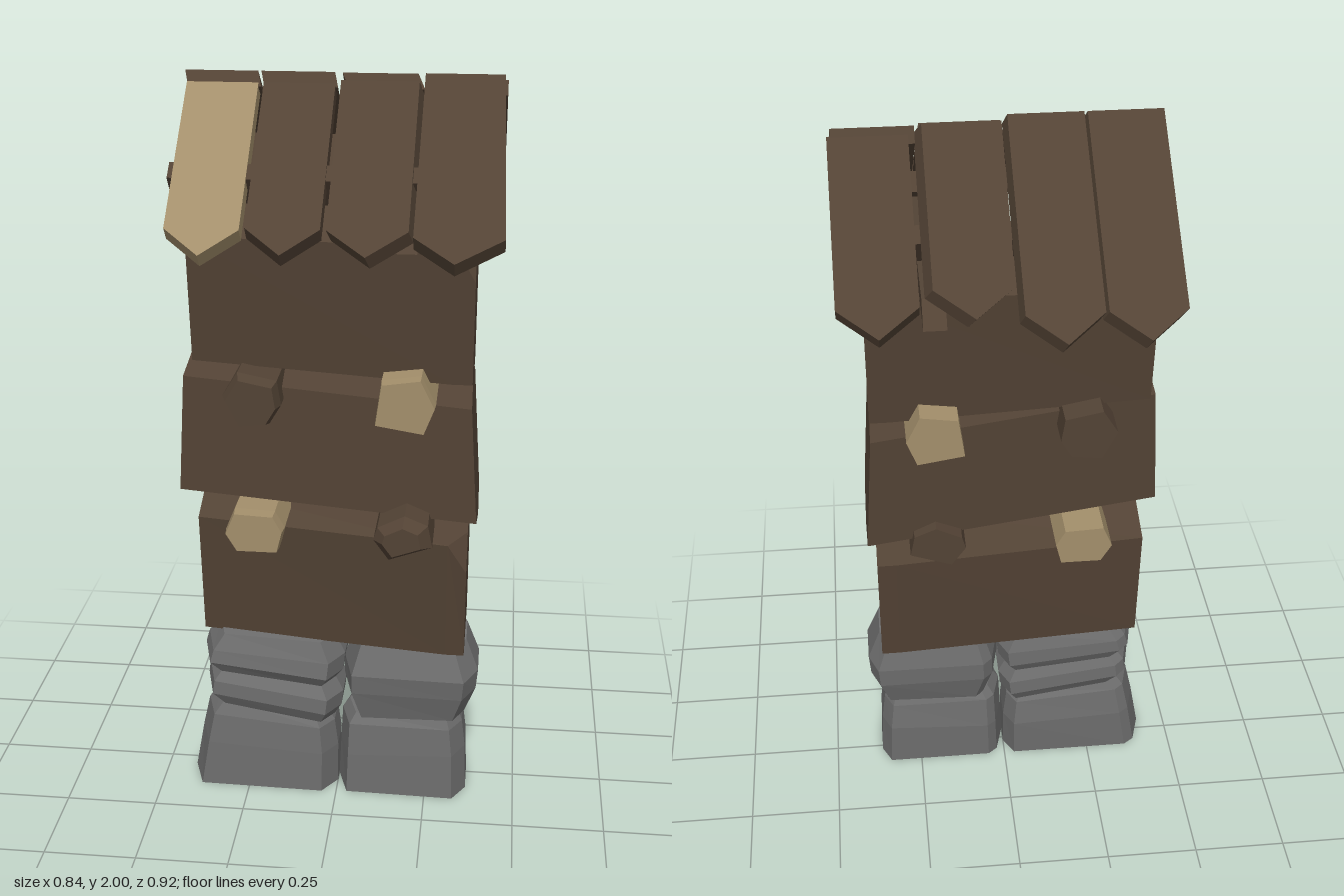
import * as THREE from 'three';

const wood = new THREE.MeshStandardMaterial({ name: 'dark wood', color: 0x534335 });
const paleWood = new THREE.MeshStandardMaterial({ name: 'pale wood', color: 0xa38f6b });
const stoneGrey = new THREE.MeshStandardMaterial({ name: 'stone grey', color: 0x6f6f6f, side: THREE.DoubleSide });

// Faceted solid through rings of [x, y, z] points; the first end may stay open
function loft(name, rings, material, openStart = false) {
  const tris = [];
  const n = rings[0].length;
  for (let r = 0; r < rings.length - 1; r++) {
    for (let i = 0; i < n; i++) {
      const j = (i + 1) % n;
      const [a, b, c, d] = [rings[r][i], rings[r][j], rings[r + 1][j], rings[r + 1][i]];
      tris.push([a, b, c], [a, c, d]);
    }
  }
  const first = rings[0], last = rings[rings.length - 1];
  for (let i = 1; i < n - 1; i++) {
    if (!openStart) tris.push([first[0], first[i + 1], first[i]]);
    tris.push([last[0], last[i], last[i + 1]]);
  }
  // Turn all faces outward whichever way the rings run
  let volume = 0;
  for (const [a, b, c] of tris) {
    volume += a[0] * (b[1] * c[2] - b[2] * c[1]) + a[1] * (b[2] * c[0] - b[0] * c[2]) + a[2] * (b[0] * c[1] - b[1] * c[0]);
  }
  const ordered = volume < 0 ? tris.map(([a, b, c]) => [a, c, b]) : tris;
  const geometry = new THREE.BufferGeometry();
  geometry.setAttribute('position', new THREE.Float32BufferAttribute(ordered.flat(2), 3));
  geometry.computeVertexNormals();
  const mesh = new THREE.Mesh(geometry, material);
  mesh.name = name;
  return mesh;
}

// Stone: stacked eight-sided rings; level = [yLeft, yRight, x0, x1, z0, z1]
function stone(name, levels, openBase = false) {
  const plan = [[0, 0.5], [0.06, 0.1], [0.13, 0], [0.93, 0], [1, 0.25], [1, 0.7], [0.9, 1], [0.08, 0.97]];
  const rings = levels.map(([yl, yr, x0, x1, z0, z1]) =>
    plan.map(([u, v]) => [x0 + (x1 - x0) * u, yl + (yr - yl) * u, z0 + (z1 - z0) * v]));
  return loft(name, rings, stoneGrey, openBase);
}

// Beam: [z, y] sections run along x; section = [x, points]
function beam(name, sections) {
  return loft(name, sections.map(([x, points]) => points.map(([z, y]) => [x, y, z])), wood);
}

// Peg: uneven [x, y] polygon run along z, narrowed at the ends by the nose factor
function peg(name, corners, back, front, nose, material) {
  const cx = corners.reduce((s, p) => s + p[0], 0) / corners.length;
  const cy = corners.reduce((s, p) => s + p[1], 0) / corners.length;
  const ring = (z, s) => corners.map(([x, y]) => [cx + (x - cx) * s, cy + (y - cy) * s, z]);
  return loft(name, [ring(back, 0.97), ring(front - 0.035, 1), ring(front, nose)], material);
}

// Roof plank with a pointed eave; z0, y0 = upper ridge edge, reach = distance out to the tip
function plank(name, x0, x1, z0, y0, reach, slope, material, flare = 0, shear = 0) {
  const a = THREE.MathUtils.degToRad(slope);
  const length = reach / Math.cos(a);
  const shoulder = length - 0.075;
  const shape = new THREE.Shape([
    [x0, 0], [x0, -shoulder], [(x0 + x1) / 2, -length], [x1 + flare, -shoulder], [x1, 0],
  ].map(([x, y]) => new THREE.Vector2(x, y)));
  const geometry = new THREE.ExtrudeGeometry(shape, { depth: 0.042, bevelEnabled: false });
  geometry.translate(0, 0, -0.042);
  // Slide the underside sideways so one long edge leans
  geometry.applyMatrix4(new THREE.Matrix4().makeShear(0, 0, 0, 0, -shear / 0.042, 0));
  geometry.rotateX(a - Math.PI / 2);
  geometry.translate(0, y0, z0);
  const mesh = new THREE.Mesh(geometry, material);
  mesh.name = name;
  return mesh;
}

export function createModel() {
  const model = new THREE.Group();
  model.name = 'roofedPost';

  // Stone footing
  const footing = new THREE.Group();
  footing.name = 'stoneFooting';
  footing.add(
    stone('lowerStoneA', [
      [0, 0, -0.42, 0.0, -0.065, 0.14], [0.14, 0.12, -0.395, 0.0, -0.073, 0.14],
      [0.23, 0.2, -0.375, -0.01, -0.065, 0.135], [0.275, 0.23, -0.34, -0.03, -0.05, 0.12]], true),
    stone('lowerStoneB', [
      [0, 0, 0.0, 0.365, -0.065, 0.14], [0.12, 0.14, 0.005, 0.36, -0.073, 0.14],
      [0.22, 0.22, 0.01, 0.35, -0.065, 0.135], [0.25, 0.265, 0.03, 0.335, -0.05, 0.12]], true),
    stone('middleStone', [
      [0.27, 0.22, -0.34, -0.01, -0.07, 0.135], [0.31, 0.255, -0.375, 0.01, -0.09, 0.155],
      [0.35, 0.3, -0.37, 0.015, -0.09, 0.155], [0.385, 0.345, -0.34, -0.01, -0.075, 0.135]]),
    stone('upperStoneA', [
      [0.365, 0.335, -0.34, -0.01, -0.075, 0.135], [0.41, 0.37, -0.38, 0.015, -0.095, 0.16],
      [0.445, 0.42, -0.37, 0.02, -0.095, 0.155], [0.49, 0.48, -0.335, -0.01, -0.08, 0.14]]),
    stone('upperStoneB', [
      [0.24, 0.25, 0.045, 0.355, -0.07, 0.13], [0.33, 0.33, 0.015, 0.385, -0.095, 0.155],
      [0.39, 0.39, 0.015, 0.39, -0.1, 0.165], [0.48, 0.48, 0.045, 0.355, -0.085, 0.14]]),
  );

  // Stacked logs; the outer two have one chipped corner and a narrower far end
  const post = new THREE.Group();
  post.name = 'logStack';
  const top = (d) => [[0.03, 1.71], [0.21, 1.62], [0.21, 1.62], [0.17, 1.255 + d], [0.02, 1.215 + d], [-0.11, 1.24 + d], [-0.15, 1.61]];
  const middle = (d) => [[0.03, 1.22 + d], [0.17, 1.19 + d], [0.175, 0.875 + d], [0.02, 0.835 + d], [-0.13, 0.865 + d], [-0.14, 1.2 + d]];
  const bottom = (d) => [[0.03, 0.86 + d], [0.2, 0.82 + d], [0.2, 0.82 + d], [0.16, 0.475 + d / 2], [0.02, 0.46 + d / 2], [-0.12, 0.475 + d / 2], [-0.15, 0.81 + d]];
  const chip = (points, upper, lower) => [points[0], upper, lower, ...points.slice(3)];
  const narrow = (points, front, back) => points.map(([z, y]) => [z > 0.1 ? z - front : z < 0 ? z + back : z, y]);
  post.add(
    beam('topLog', [
      [-0.37, narrow(top(0.03), 0.035, 0)], [0.3, top(0)],
      [0.35, chip(top(0), [0.15, 1.65], [0.2, 1.53])]]),
    beam('bottomLog', [
      [-0.37, narrow(bottom(0.02), 0.07, 0.03)], [0.3, bottom(0)],
      [0.35, chip(bottom(0), [0.14, 0.835], [0.193, 0.74])]]),
  );
  // The middle log leans, its ends wider below than above
  const lean = (x, d, out, points) => points.map(([z, y]) => [x + out * (1.2 + d - y) / 0.35, y, z]);
  post.add(loft('middleLog', [
    lean(-0.39, 0.06, -0.02, narrow(middle(0.06), 0.01, 0.065)), lean(0.35, 0, 0.023, middle(0))], wood));

  // Pegs driven through the joints
  const pegs = new THREE.Group();
  pegs.name = 'pegs';
  pegs.add(
    peg('upperPegDark', [[-0.28, 1.22], [-0.24, 1.285], [-0.14, 1.265], [-0.13, 1.2], [-0.16, 1.15], [-0.24, 1.14]],
      -0.18, 0.25, 0.85, wood),
    peg('upperPegPale', [[0.11, 1.17], [0.125, 1.28], [0.225, 1.295], [0.262, 1.22], [0.235, 1.15]],
      -0.18, 0.26, 0.97, paleWood),
    peg('lowerPegPale', [[-0.28, 0.85], [-0.255, 0.91], [-0.15, 0.905], [-0.125, 0.86], [-0.14, 0.8], [-0.25, 0.8]],
      -0.17, 0.25, 0.95, paleWood),
    peg('lowerPegDark', [[0.11, 0.855], [0.12, 0.89], [0.19, 0.925], [0.25, 0.9], [0.262, 0.84], [0.15, 0.8]],
      -0.15, 0.29, 0.65, wood),
  );

  // Roof frame: two purlins and one tie beam
  const roof = new THREE.Group();
  roof.name = 'roof';
  for (const [z, tilt] of [[0.212, 0.66], [-0.157, -0.66]]) {
    const purlin = new THREE.Mesh(new THREE.BoxGeometry(0.74, 0.09, 0.048), wood);
    purlin.name = 'purlin';
    purlin.position.set(-0.02, 1.763, z);
    purlin.rotation.x = tilt;
    roof.add(purlin);
  }
  const tie = [[0.36, 1.64], [-0.355, 1.64], [-0.31, 1.7], [0.31, 1.7]];
  roof.add(beam('tieBeam', [[0.16, tie], [0.215, tie]]));

  // Front roof planks
  roof.add(
    plank('frontPlank1', -0.378, -0.2, 0.025, 1.982, 0.405, 40, paleWood),
    plank('frontPlank2', -0.187, -0.01, 0.025, 1.982, 0.405, 39.5, wood),
    plank('frontPlank3', 0.003, 0.195, 0.025, 1.982, 0.405, 39.5, wood, 0, 0.01),
    plank('frontPlank4', 0.207, 0.402, -0.02, 1.995, 0.48, 36, wood, 0.016),
  );
  // Back roof planks, laid out in a half-turned group
  const backSlope = new THREE.Group();
  backSlope.name = 'backSlope';
  backSlope.rotation.y = Math.PI;
  backSlope.add(
    plank('backPlank1', 0.203, 0.385, -0.015, 2.0, 0.475, 36.5, wood, 0, -0.01),
    plank('backPlank2', 0.013, 0.195, -0.015, 2.0, 0.475, 36.5, wood, 0, -0.01),
    plank('backPlank3', -0.19, -0.003, 0.01, 1.995, 0.39, 38, wood, 0, -0.018),
    plank('backPlank4', -0.41, -0.222, 0.03, 1.98, 0.405, 37.5, wood),
  );
  roof.add(backSlope);

  model.add(footing, post, pegs, roof);
  return model;
}
